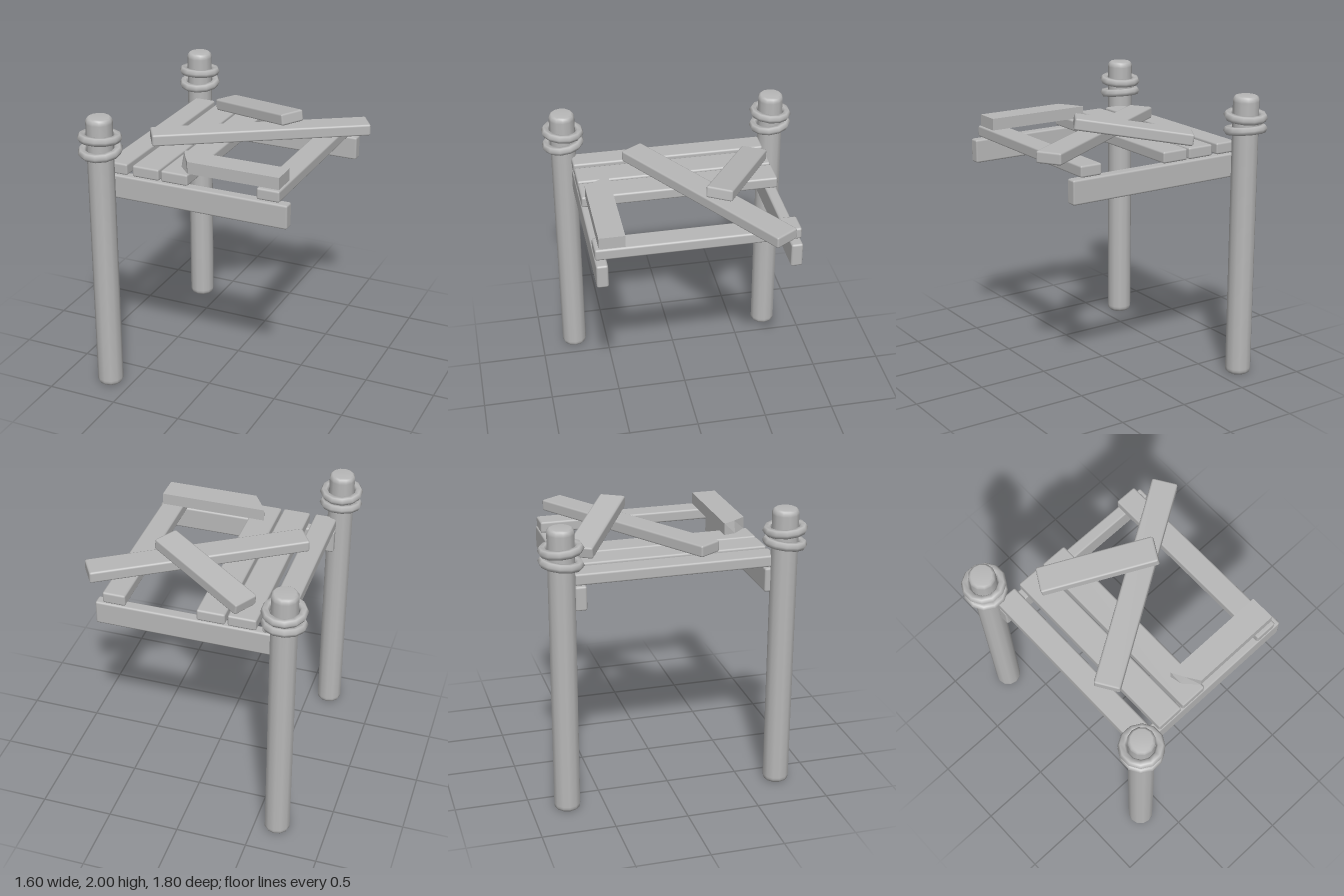
import * as THREE from 'three';
import { RoundedBoxGeometry } from 'three/addons/geometries/RoundedBoxGeometry.js';

export function createModel() {
  const model = new THREE.Group();
  model.name = 'brokenDock';
  const grey = new THREE.MeshStandardMaterial({ color: 0xb8b8b8 });
  grey.name = 'weathered grey';

  const add = (name, geometry, x, y, z) => {
    const mesh = new THREE.Mesh(geometry, grey);
    mesh.name = name;
    mesh.position.set(x, y, z);
    model.add(mesh);
    return mesh;
  };
  // Chamfered timber
  const board = (name, w, h, d, x, y, z) =>
    add(name, new RoundedBoxGeometry(w, h, d, 1, 0.014), x, y, z);

  // Posts, each with two tilted rope loops
  const profile = [[0, 0], [0.07, 0], [0.082, 0.008], [0.09, 0.025], [0.09, 0.04],
    [0.09, 1.96], [0.09, 1.975], [0.082, 1.992], [0.07, 2], [0, 2]]
    .map(([r, y]) => new THREE.Vector2(r, y));
  const postGeometry = new THREE.LatheGeometry(profile, 12);
  const ropeGeometry = new THREE.TorusGeometry(0.121, 0.03, 6, 12);
  ropeGeometry.rotateX(Math.PI / 2);
  ropeGeometry.rotateY(Math.PI / 12);
  for (const [side, z] of [['front', 0.75], ['back', -0.755]]) {
    add(side + 'Post', postGeometry, -0.658, 0, z);
    add(side + 'UpperRope', ropeGeometry, -0.658, 1.858, z).rotation.x = -0.08;
    add(side + 'LowerRope', ropeGeometry, -0.658, 1.767, z).rotation.x = 0.12;
  }

  // Side rails under the deck
  for (const [side, z] of [['front', 0.665], ['back', -0.625]])
    board(side + 'Rail', 1.305, 0.168, 0.08, 0.003, 1.5, z);

  // Deck planks still in place
  [[-0.57, 0.16], [-0.355, 0.195], [-0.145, 0.195], [0.52, 0.16]].forEach(([x, w], i) =>
    board('deckPlank' + (i + 1), w, 0.08, 1.37, x, 1.632, 0.018));

  // Loose planks lying across the deck
  board('loosePlank', 1.52, 0.082, 0.18, 0.115, 1.715, -0.12).rotation.y = 0.562;
  const tilted = board('tiltedPlank', 0.81, 0.082, 0.185, -0.01, 1.772, -0.367);
  tilted.rotation.set(0, -0.53, 0.152, 'YXZ');

  // Snapped plank with a splintered left end
  const outline = [[-0.165, -0.5], [0.587, -0.5], [0.587, -0.675], [-0.058, -0.675], [-0.145, -0.585]];
  const shape = new THREE.Shape(outline.map(([x, y]) => new THREE.Vector2(x, y)));
  const snapped = new THREE.ExtrudeGeometry(shape, { depth: 0.083, bevelEnabled: false });
  snapped.rotateX(-Math.PI / 2);
  const p = snapped.attributes.position;
  // Pull the top of the splinter inward
  for (let i = 0; i < p.count; i++)
    if (p.getY(i) > 0.05 && Math.abs(p.getZ(i) - 0.585) < 0.01) p.setX(i, -0.118);
  snapped.computeVertexNormals();
  add('snappedPlank', snapped, 0, 1.672, 0);

  return model;
}
